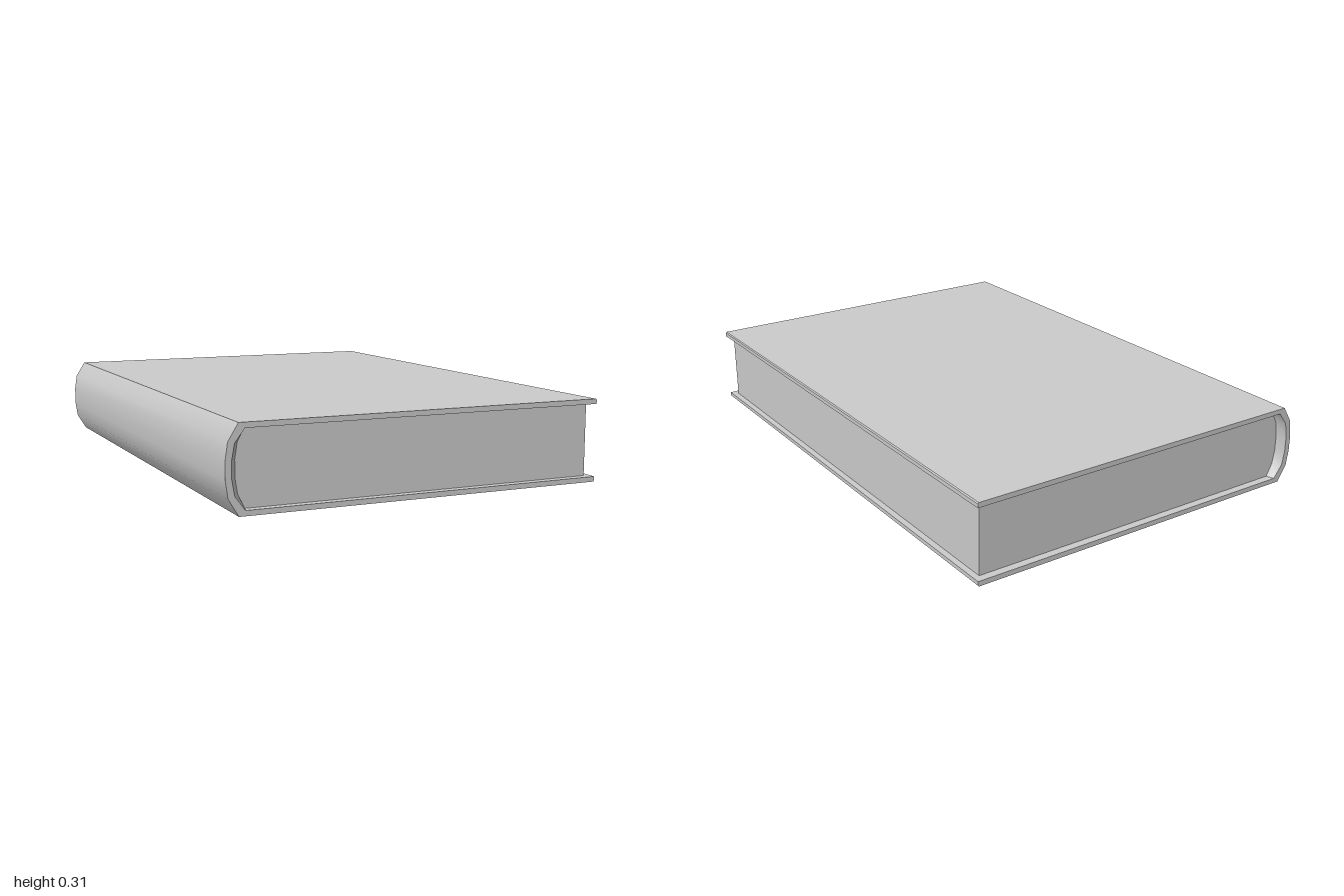
import * as THREE from 'three';
import { toCreasedNormals } from 'three/addons/utils/BufferGeometryUtils.js';

const MID = 0.1525; // half of the book's thickness
const HALF = 1;     // half length of the cover
const PAGE = 0.97;  // half length of the page block

// Mirrors the upper half of a curve about mid height, giving top-to-bottom points.
const mirrored = (half) => [
  ...half,
  ...half.slice().reverse().map(([x, y]) => [x, 2 * MID - y]),
];

const outerCurve = mirrored([[-0.67, 0.305], [-0.707, 0.245], [-0.716, 0.185]]);
const innerCurve = mirrored([[-0.648, 0.286], [-0.684, 0.238], [-0.694, 0.183]]);
const pageCurve = mirrored([[-0.638, 0.286], [-0.663, 0.238], [-0.672, 0.183]]);

function extrude(points, halfLength) {
  const shape = new THREE.Shape(points.map(([x, y]) => new THREE.Vector2(x, y)));
  const geometry = new THREE.ExtrudeGeometry(shape, { depth: 2 * halfLength, bevelEnabled: false });
  geometry.translate(0, 0, -halfLength);
  return toCreasedNormals(geometry, 0.7);
}

// Sloping strip between the spine's inner edge and the end of the page block.
function lip(side) {
  const positions = [];
  const index = [];
  innerCurve.forEach(([x, y], i) => {
    const [px, py] = pageCurve[i];
    positions.push(x, y, side * HALF, px, py, side * PAGE);
    if (i > 0) {
      const a = 2 * (i - 1);
      if (side > 0) index.push(a, a + 2, a + 1, a + 1, a + 2, a + 3);
      else index.push(a, a + 1, a + 2, a + 1, a + 3, a + 2);
    }
  });
  const geometry = new THREE.BufferGeometry();
  geometry.setAttribute('position', new THREE.Float32BufferAttribute(positions, 3));
  geometry.setIndex(index);
  geometry.computeVertexNormals();
  return geometry;
}

export function createModel() {
  const group = new THREE.Group();
  group.name = 'book';
  const material = new THREE.MeshStandardMaterial({ color: 0xcccccc });
  const lipMaterial = new THREE.MeshStandardMaterial({ color: 0xcccccc, side: THREE.DoubleSide });
  const add = (name, geometry, mat = material) => {
    const mesh = new THREE.Mesh(geometry, mat);
    mesh.name = name;
    group.add(mesh);
  };

  // Both boards and the rounded spine in one C-shaped section
  const coverProfile = [
    [0.71, 0.305], ...outerCurve, [0.71, 0], [0.714, 0.004], [0.714, 0.019],
    ...innerCurve.slice().reverse(), [0.714, 0.286], [0.714, 0.301],
  ];
  add('cover', extrude(coverProfile, HALF));

  // Page block, rounded to follow the spine
  add('pages', extrude([...pageCurve, [0.69, 0.019], [0.69, 0.286]], PAGE));

  // Inner spine lips at both ends
  add('frontSpineLip', lip(1), lipMaterial);
  add('backSpineLip', lip(-1), lipMaterial);

  return group;
}
